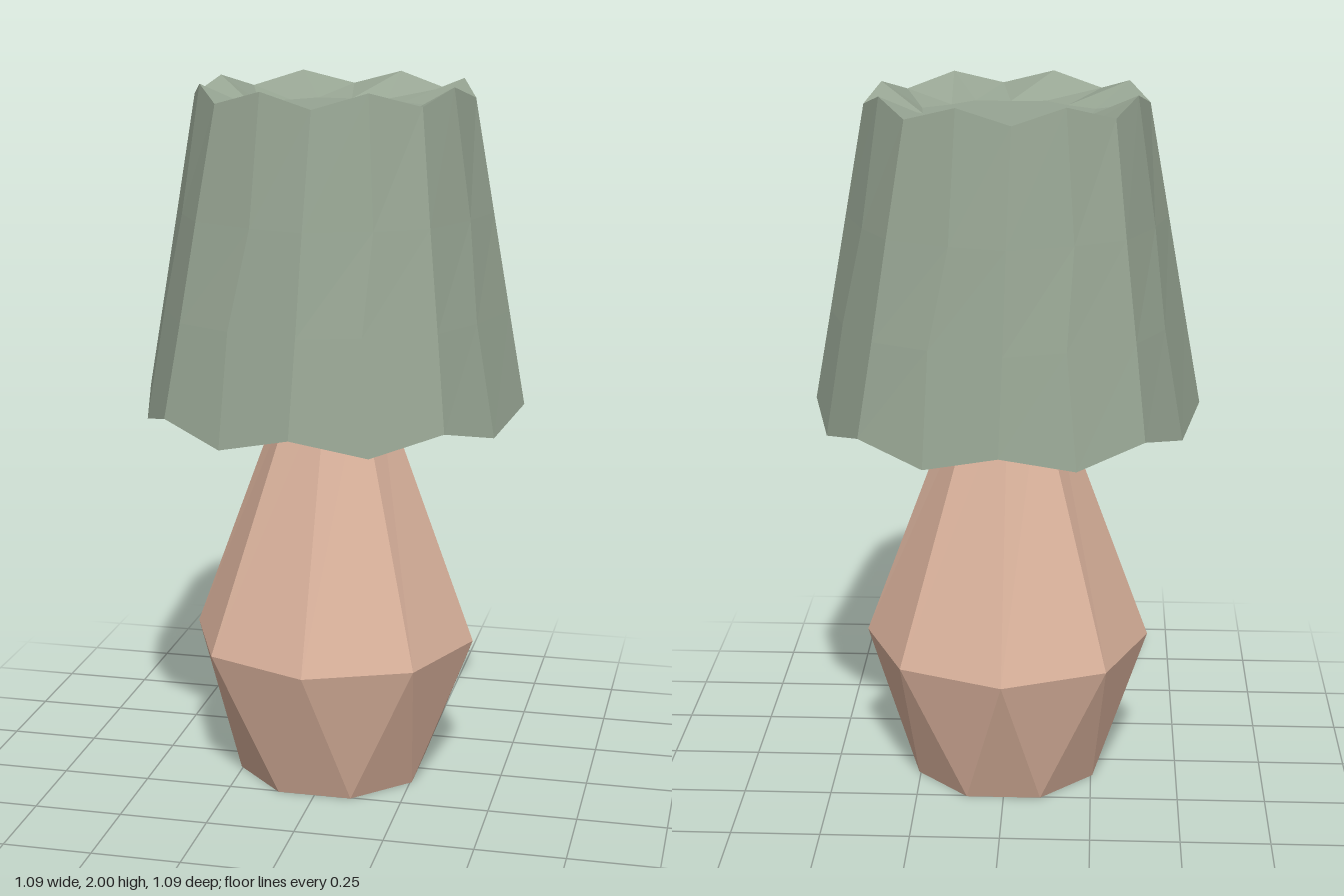
import * as THREE from 'three';

// One horizontal ring of n points. Even and odd points may differ in radius and height.
function ring(n, rEven, yEven, rOdd = rEven, yOdd = yEven, turn = 0, oddTurn = 0) {
  return Array.from({ length: n }, (_, i) => {
    const odd = i % 2 === 1;
    const a = (i / n) * Math.PI * 2 + THREE.MathUtils.degToRad(turn + (odd ? oddTurn : 0));
    const r = odd ? rOdd : rEven;
    return [Math.sin(a) * r, odd ? yOdd : yEven, Math.cos(a) * r];
  });
}

// Faceted closed skin through a stack of rings, with flat caps at both ends.
function skin(rings) {
  const pos = [];
  const tri = (a, b, c) => pos.push(...a, ...b, ...c);
  const n = rings[0].length;
  const first = rings[0], last = rings[rings.length - 1];
  const bottom = [0, first[0][1], 0], top = [0, last[0][1], 0];
  for (let i = 0; i < n; i++) {
    const j = (i + 1) % n;
    tri(bottom, first[j], first[i]);
    tri(top, last[i], last[j]);
    for (let k = 0; k < rings.length - 1; k++) {
      const lo = rings[k], hi = rings[k + 1];
      tri(lo[i], lo[j], hi[j]);
      tri(lo[i], hi[j], hi[i]);
    }
  }
  const g = new THREE.BufferGeometry();
  g.setAttribute('position', new THREE.Float32BufferAttribute(pos, 3));
  g.computeVertexNormals();
  return g;
}

function part(name, color, rings) {
  const mesh = new THREE.Mesh(
    skin(rings),
    new THREE.MeshStandardMaterial({ color, flatShading: true })
  );
  mesh.name = name;
  return mesh;
}

export function createModel() {
  const group = new THREE.Group();
  group.name = 'tableLamp';

  // Eight-sided gem-like base, the foot turned half a side against the waist
  group.add(part('lampBase', 0xdab29c, [
    ring(8, 0.276, 0, 0.276, 0, 22.5),
    ring(8, 0.41, 0.41),
    ring(8, 0.125, 1.18, 0.125, 1.18, 3),
  ]));

  // Sixteen-sided shade with scalloped rims, recessed at the bottom and the top
  group.add(part('lampShade', 0x97a593, [
    ring(16, 0.235, 1.17, 0.26),               // recess ceiling
    ring(16, 0.37, 1.09),                      // inner lip
    ring(16, 0.543, 1.12, 0.53, 1.07),         // lower rim
    ring(16, 0.495, 1.38, 0.475, 1.38, 1, -2), // slightly uneven sides
    ring(16, 0.446, 1.65, 0.427, 1.65, 2, 2),
    ring(16, 0.39, 1.96, 0.373, 2, 4),         // upper rim
    ring(16, 0.23, 1.93, 0.26, 1.93),          // recess floor
  ]));

  return group;
}
